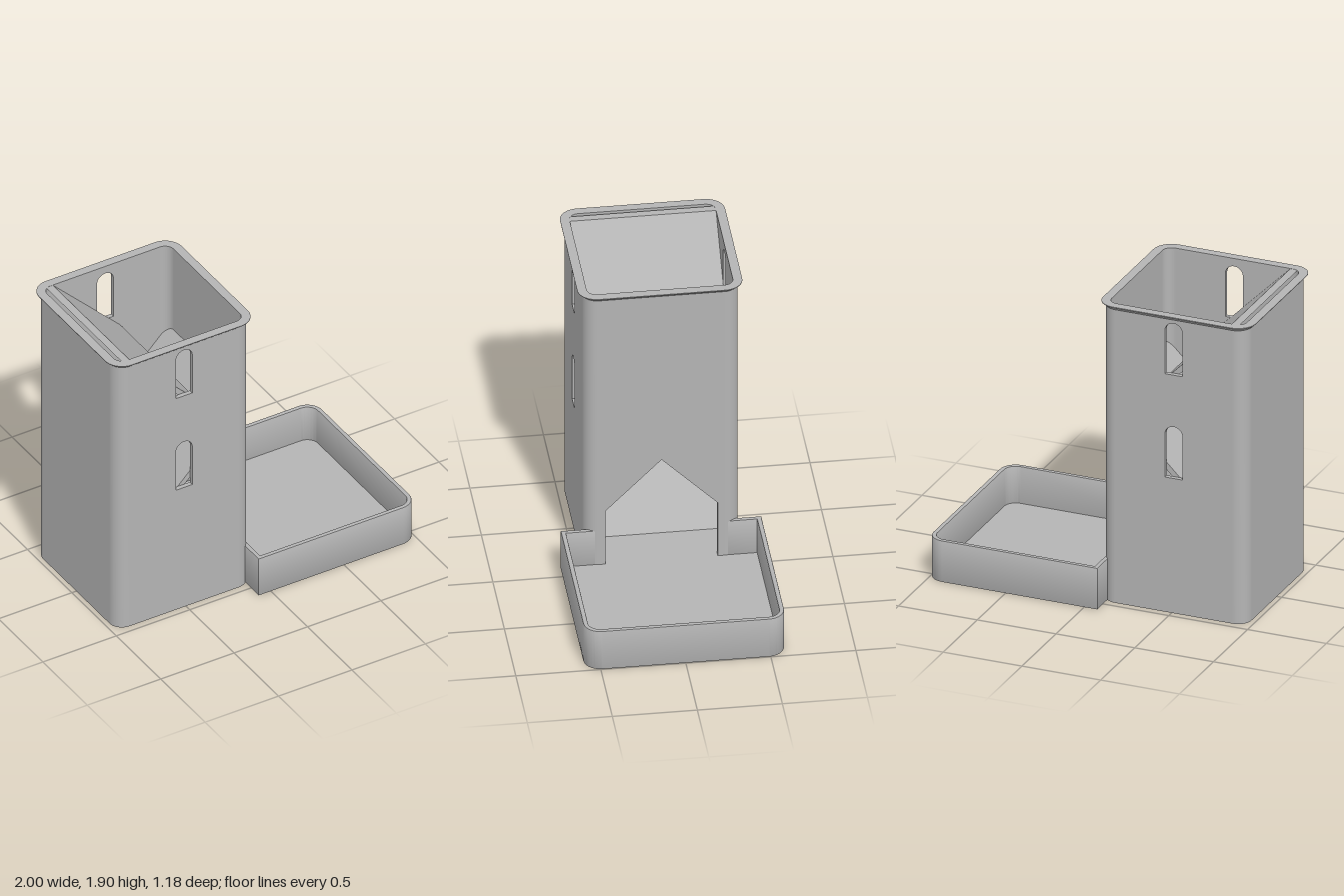
import * as THREE from 'three';
import { toCreasedNormals } from 'three/addons/utils/BufferGeometryUtils.js';

const CX = -0.5125;            // tower centre
const OUT = 0.4575, IN = 0.43; // tower outer and inner half widths
const WALL = OUT - IN;
const R = 0.085;               // outer corner radius
const FLAT = OUT - R;          // half width of the flat part of each wall
const TOP = 1.9, FLOOR = 0.03;

const grey = new THREE.MeshStandardMaterial({ color: 0xb4b4b4 });
grey.name = 'grey plastic';

function polygon(points) {
  return new THREE.Shape(points.map(([x, y]) => new THREE.Vector2(x, y)));
}

function extrude(shape, depth, options = {}) {
  const geo = new THREE.ExtrudeGeometry(shape, { depth, bevelEnabled: false, curveSegments: 12, ...options });
  return toCreasedNormals(geo, 0.6);
}

// Extrude a plan outline upwards (shape y becomes -z)
function extrudeUp(shape, height, options) {
  return extrude(shape, height, options).rotateX(-Math.PI / 2);
}

// Arched window outline, sill at y0
function archedWindow(y0) {
  const w = 0.056, h = 0.274;
  const p = new THREE.Path();
  p.moveTo(-w, y0);
  p.lineTo(w, y0);
  p.lineTo(w, y0 + h);
  p.absarc(0, y0 + h, w, 0, Math.PI, false);
  p.closePath();
  return p;
}

// Points around a rounded square, counter-clockwise from above
function roundedSquare(half, r, y) {
  const pts = [];
  for (let c = 0; c < 4; c++) {
    const sx = c === 0 || c === 3 ? 1 : -1, sy = c < 2 ? 1 : -1;
    for (let i = 0; i <= 10; i++) {
      const a = (c + i / 10) * Math.PI / 2;
      pts.push([CX + sx * (half - r) + r * Math.cos(a), y, -(sy * (half - r) + r * Math.sin(a))]);
    }
  }
  return pts;
}

function loft(rings) {
  const pos = [];
  for (let k = 0; k < rings.length - 1; k++) {
    const a = rings[k], b = rings[k + 1], n = a.length;
    for (let i = 0; i < n; i++) {
      const j = (i + 1) % n;
      pos.push(...a[i], ...a[j], ...b[j], ...a[i], ...b[j], ...b[i]);
    }
  }
  const geo = new THREE.BufferGeometry();
  geo.setAttribute('position', new THREE.Float32BufferAttribute(pos, 3));
  return toCreasedNormals(geo, 0.6);
}

export function createModel() {
  const model = new THREE.Group();
  model.name = 'diceTower';
  const add = (name, geo) => {
    const mesh = new THREE.Mesh(geo, grey);
    mesh.name = name;
    model.add(mesh);
    return mesh;
  };
  const H = TOP - 0.005;

  // Front and back walls with two arched windows each
  for (const [name, z] of [['frontWall', IN], ['backWall', -OUT]]) {
    const s = polygon([[-FLAT, 0], [FLAT, 0], [FLAT, H], [-FLAT, H]]);
    s.holes.push(archedWindow(0.86), archedWindow(1.52));
    add(name, extrude(s, WALL).translate(CX, 0, z));
  }

  // Plain side wall
  add('sideWall', new THREE.BoxGeometry(WALL, H, FLAT * 2).translate(CX - OUT + WALL / 2, H / 2, 0));

  // Wall with the pointed doorway
  const door = polygon([
    [-FLAT, 0], [FLAT, 0], [FLAT, H], [-FLAT, H],
  ]);
  door.holes.push(new THREE.Path([[-0.33, FLOOR], [0.33, FLOOR], [0.33, 0.4], [0, 0.73], [-0.33, 0.4]]
    .map(([x, y]) => new THREE.Vector2(x, y))));
  add('doorWall', extrude(door, WALL).rotateY(Math.PI / 2).translate(CX + IN, 0, 0));

  // Rounded corner posts
  for (let c = 0; c < 4; c++) {
    const a = c * Math.PI / 2, b = a + Math.PI / 2;
    const s = new THREE.Shape();
    s.absarc(0, 0, R, a, b, false);
    s.absarc(0, 0, R - WALL, b, a, true);
    s.closePath();
    const sx = c === 0 || c === 3 ? 1 : -1, sz = c < 2 ? -1 : 1;
    add('corner', extrudeUp(s, H).translate(CX + sx * FLAT, 0, sz * FLAT));
  }

  // Flared rim
  add('rim', loft([
    roundedSquare(OUT - 0.002, R, 1.87),
    roundedSquare(0.485, R + 0.0275, TOP - 0.004),
    roundedSquare(0.485, R + 0.0275, TOP),
    roundedSquare(IN, R - WALL, TOP),
    roundedSquare(IN, R - WALL, TOP - 0.02),
  ]));

  // Tower floor
  const base = polygon(roundedSquare(IN + 0.01, R - WALL, 0).slice().map(([x, , z]) => [x, -z]));
  add('towerFloor', extrudeUp(base, FLOOR));

  // Sloping ramps inside, alternating sides
  const left = CX - IN, right = CX + IN, t = 0.048;
  const ramps = {
    upperRamp: [[-0.87, TOP - 0.001], [-0.87 - t, TOP - 0.001], [-0.41, 1.44 - t], [-0.41, 1.44]],
    middleRamp: [[right, 1.4 + right], [-0.615, 0.785], [-0.615, 0.785 - t], [right, 1.4 + right - t]],
    lowerRamp: [[left, 0.633], [left, 0.633 - t], [-0.34 - t, FLOOR], [-0.34, FLOOR]],
  };
  for (const [name, pts] of Object.entries(ramps)) {
    add(name, extrude(polygon(pts), IN * 2).translate(0, 0, -IN));
  }

  // Tray wall: a U with short returns that meet the tower
  const x0 = -0.085, x1 = 1, hz = 0.59, r = 0.1, w = 0.028;
  const u = new THREE.Shape();
  u.moveTo(x0, -hz);
  u.lineTo(x1 - r, -hz);
  u.absarc(x1 - r, -hz + r, r, -Math.PI / 2, 0, false);
  u.absarc(x1 - r, hz - r, r, 0, Math.PI / 2, false);
  u.lineTo(x0, hz);
  u.lineTo(x0, FLAT);
  u.lineTo(x0 + w, FLAT);
  u.lineTo(x0 + w, hz - w);
  u.absarc(x1 - r, hz - r, r - w, Math.PI / 2, 0, true);
  u.absarc(x1 - r, -hz + r, r - w, 0, -Math.PI / 2, true);
  u.lineTo(x0 + w, -hz + w);
  u.lineTo(x0 + w, -FLAT);
  u.lineTo(x0, -FLAT);
  u.closePath();
  const bevel = 0.006;
  add('trayWall', extrudeUp(u, 0.265 - bevel * 2, {
    bevelEnabled: true, bevelThickness: bevel, bevelSize: bevel, bevelOffset: -bevel, bevelSegments: 2,
  }).translate(0, bevel, 0));

  // Tray floor
  const f = new THREE.Shape();
  const e = w - 0.01;
  f.moveTo(x0 + w, -hz + e);
  f.lineTo(x1 - r, -hz + e);
  f.absarc(x1 - r, -hz + r, r - e, -Math.PI / 2, 0, false);
  f.absarc(x1 - r, hz - r, r - e, 0, Math.PI / 2, false);
  f.lineTo(x0 + w, hz - e);
  f.closePath();
  add('trayFloor', extrudeUp(f, FLOOR));

  return model;
}
